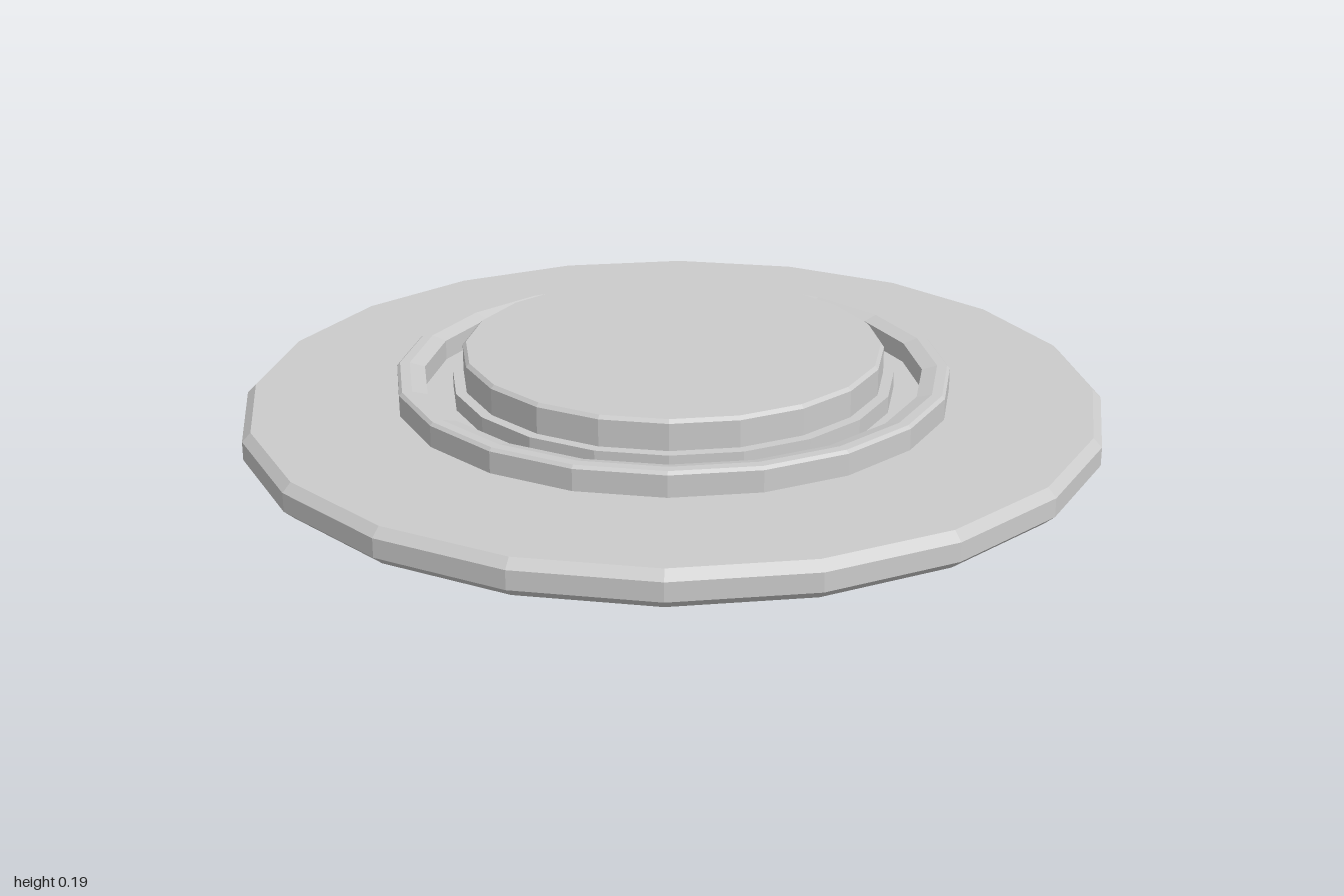
import * as THREE from 'three';

const SIDES = 20;
const material = new THREE.MeshStandardMaterial({ color: 0xcccccc, flatShading: true });

// Faceted turned part; the [radius, height] profile runs from the bottom up
function turned(name, profile) {
  const points = profile.map(([r, y]) => new THREE.Vector2(r, y));
  const mesh = new THREE.Mesh(new THREE.LatheGeometry(points, SIDES), material);
  mesh.name = name;
  return mesh;
}

export function createModel() {
  const model = new THREE.Group();
  model.name = 'steppedDisc';

  // Wide base plate, bevelled above and below
  model.add(turned('basePlate', [
    [0, 0], [0.975, 0], [1, 0.022], [1, 0.065], [0.98, 0.085], [0, 0.085],
  ]));

  // Raised collar with a softened rim sloping in to the groove
  model.add(turned('collarRing', [
    [0.645, 0.085], [0.645, 0.135], [0.638, 0.142], [0.615, 0.142],
    [0.58, 0.132], [0.58, 0.085],
  ]));

  // Narrow shoulder around the foot of the centre disc
  model.add(turned('discShoulder', [
    [0.515, 0.085], [0.515, 0.125], [0.48, 0.125],
  ]));

  // Centre disc with a small top bevel
  model.add(turned('centreDisc', [
    [0.49, 0.085], [0.49, 0.187], [0.482, 0.195], [0, 0.195],
  ]));

  return model;
}
